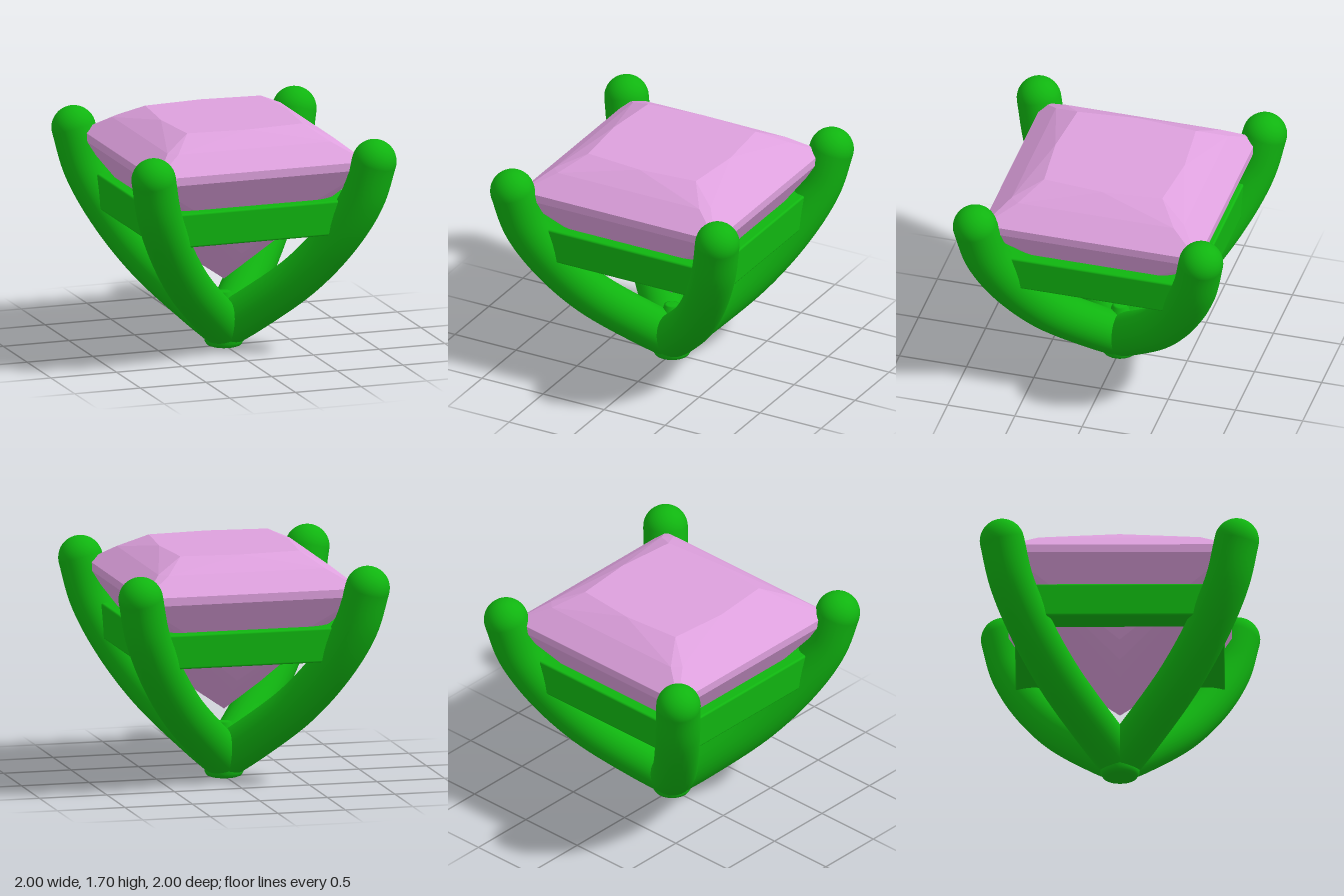
import * as THREE from 'three';
import { ConvexGeometry } from 'three/addons/geometries/ConvexGeometry.js';
import { RoundedBoxGeometry } from 'three/addons/geometries/RoundedBoxGeometry.js';

const V = (x, y, z) => new THREE.Vector3(x, y, z);

// Square-cut stone: list one side's points [across, y, outward], repeat on four sides
function gemGeometry() {
  const side = [
    [0.44, 1.7, 0.44], [0, 1.7, 0.48],               // table
    [0.58, 1.6, 0.64], [-0.58, 1.6, 0.64],           // crown break
    [0.8, 1.47, 0.8], [0.8, 1.41, 0.8],              // girdle
    [0, 0.87, 0.475], [0, 0.76, 0.37], [0, 0.67, 0.26], // chevron tips
  ];
  const points = [V(0, 0.49, 0)];
  for (const [c, s] of [[1, 0], [0, 1], [-1, 0], [0, -1]]) {
    for (const [x, y, z] of side) points.push(V(x * c + z * s, y, z * c - x * s));
  }
  return new ConvexGeometry(points);
}

export function createModel() {
  const group = new THREE.Group();
  const metal = new THREE.MeshStandardMaterial({ color: 0x10b510 });
  const stone = new THREE.MeshStandardMaterial({ color: 0xdda0dd, flatShading: true });
  const add = (name, geometry, material, parent = group) => {
    const mesh = new THREE.Mesh(geometry, material);
    mesh.name = name;
    parent.add(mesh);
    return mesh;
  };

  add('gem', gemGeometry(), stone);

  // Curved prong along the diagonal, with a round tip
  const r = 0.16;
  const path = new THREE.CatmullRomCurve3(
    [[0, 0.14], [0.15, 0.28], [0.43, 0.58], [0.64, 0.9], [0.775, 1.2], [0.84, 1.48]]
      .map(([d, y]) => V(d, y, d)));
  const prongGeometry = new THREE.TubeGeometry(path, 48, r, 32);
  const tipGeometry = new THREE.SphereGeometry(r, 32, 20);
  const barGeometry = new RoundedBoxGeometry(1.34, 0.25, 0.21, 3, 0.015);

  // Four prongs and four cross bars
  for (let i = 0; i < 4; i++) {
    const quarter = new THREE.Group();
    quarter.name = 'settingSide' + (i + 1);
    quarter.rotation.y = i * Math.PI / 2;
    add('prong', prongGeometry, metal, quarter);
    add('prongTip', tipGeometry, metal, quarter).position.set(0.84, 1.48, 0.84);
    add('crossBar', barGeometry, metal, quarter).position.set(0, 1.06, 0.645);
    group.add(quarter);
  }

  // Flat-bottomed hub where the prongs join
  const hub = [[0, 0], [0.1, 0], [0.125, 0.01], [0.14, 0.035], [0.145, 0.1], [0.12, 0.2], [0.055, 0.395], [0.04, 0.4], [0, 0.4]];
  add('hub', new THREE.LatheGeometry(hub.map(([x, y]) => new THREE.Vector2(x, y)), 32), metal);

  return group;
}
